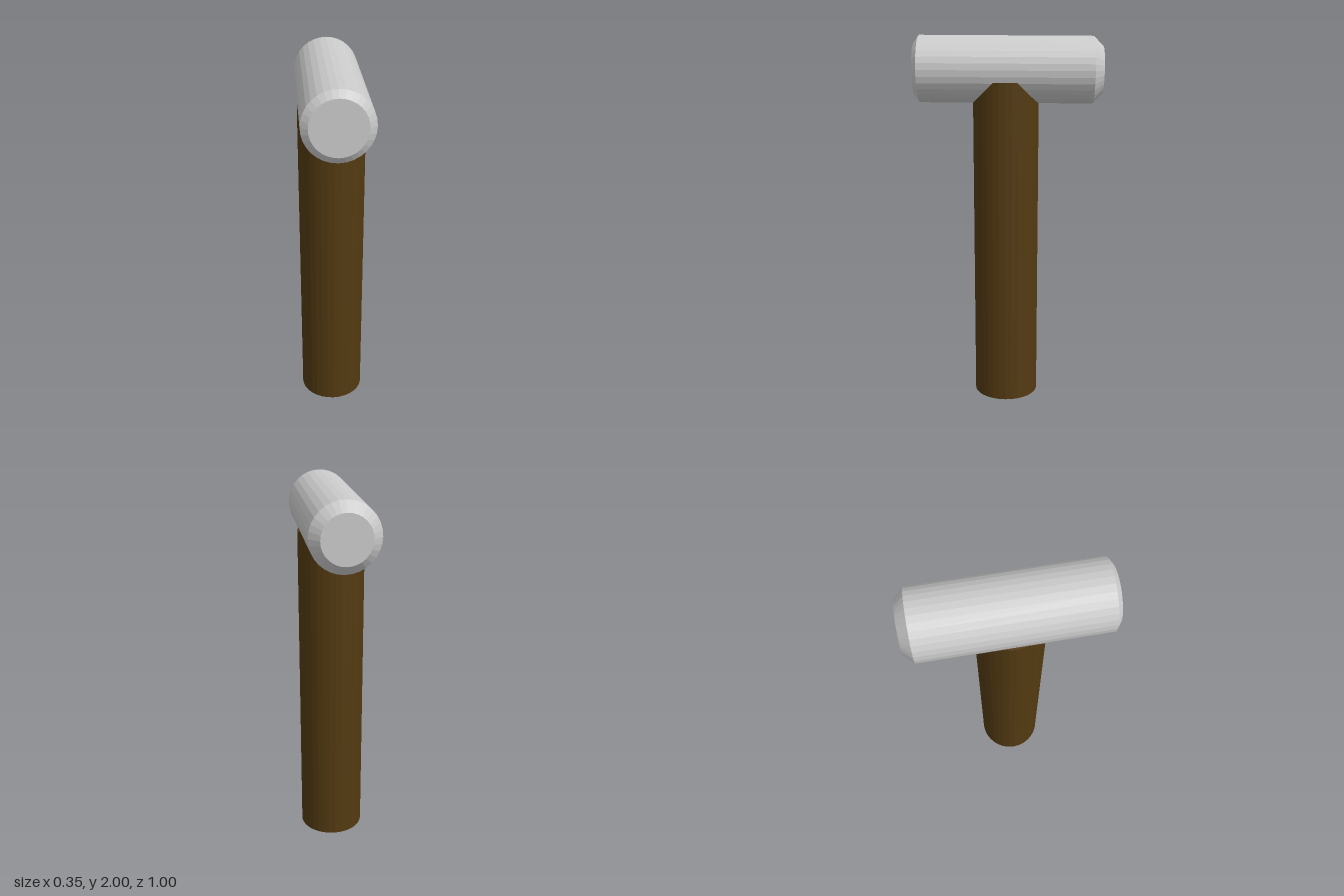
import * as THREE from 'three';

const SIDES = 32;
const RADIUS = 0.176;

export function createModel() {
  const model = new THREE.Group();

  // Head: a bar along z, with a slim bevel in front and a deeper one behind
  const profile = [
    [0, -0.5], [0.125, -0.5], [RADIUS, -0.45],
    [RADIUS, 0.47], [0.14, 0.496], [0, 0.496],
  ].map(([r, y]) => new THREE.Vector2(r, y));
  const headGeometry = new THREE.LatheGeometry(profile, SIDES).rotateX(Math.PI / 2);
  const head = new THREE.Mesh(
    headGeometry,
    new THREE.MeshStandardMaterial({ color: 0xcccccc, flatShading: true })
  );
  head.name = 'hammerHead';
  head.position.y = 1.822;
  head.rotation.set(-0.006, -0.003, 0);
  model.add(head);

  // Handle: a plain round post whose flat top ends inside the head
  const height = 1.76;
  const handle = new THREE.Mesh(
    new THREE.CylinderGeometry(RADIUS, RADIUS, height, SIDES),
    new THREE.MeshStandardMaterial({ color: 0x533a12, flatShading: true })
  );
  handle.name = 'handle';
  handle.position.set(0, height / 2, 0.012);
  model.add(handle);

  return model;
}
